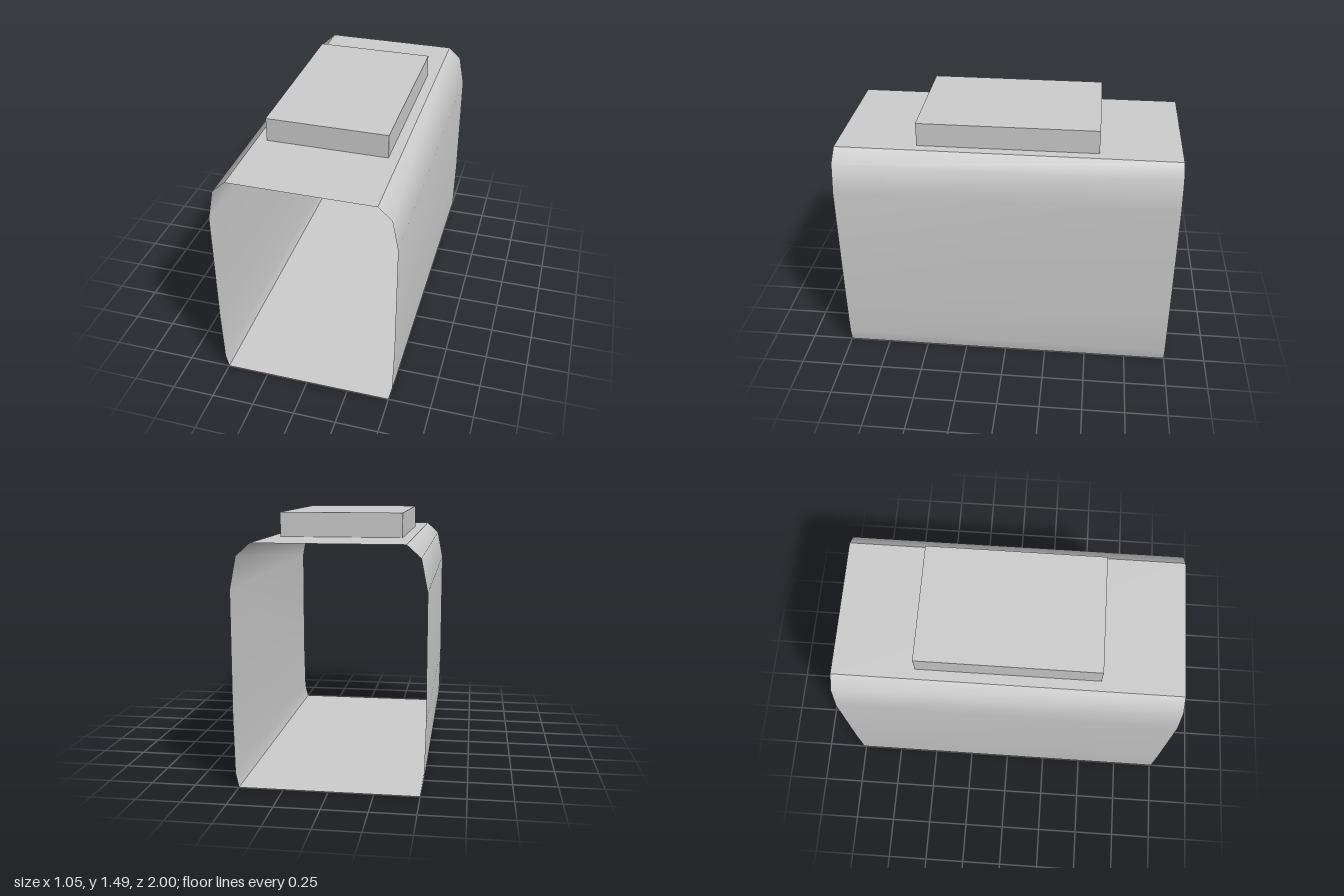
import * as THREE from 'three';

// Open strip swept along z; profile points run counter-clockwise seen from the front
function sweepStrip(profile, halfDepth) {
  const positions = [];
  const index = [];
  profile.forEach(([x, y], i) => {
    positions.push(x, y, halfDepth, x, y, -halfDepth);
    if (i === 0) return;
    const a = 2 * (i - 1);
    index.push(a, a + 1, a + 3, a, a + 3, a + 2);
  });
  const geometry = new THREE.BufferGeometry();
  geometry.setAttribute('position', new THREE.Float32BufferAttribute(positions, 3));
  geometry.setIndex(index);
  geometry.computeVertexNormals();
  return geometry;
}

export function createModel() {
  const model = new THREE.Group();
  model.name = 'openSleeve';

  const grey = new THREE.MeshStandardMaterial({ color: 0xcccccc, side: THREE.DoubleSide });
  grey.name = 'light grey';

  const add = (name, geometry) => {
    const mesh = new THREE.Mesh(geometry, grey);
    mesh.name = name;
    model.add(mesh);
    return mesh;
  };

  // Curved side wall, bottom to top; mirrored for the other side
  const wall = [[0.5, 0], [0.518, 0.08], [0.525, 0.4], [0.525, 1.1], [0.49, 1.28], [0.413, 1.35]];
  const mirrored = wall.map(([x, y]) => [-x, y]).reverse();
  const last = wall.length - 1;

  add('leftWall', sweepStrip(wall, 1));
  add('rightWall', sweepStrip(mirrored, 1));

  // Flat roof and floor close the sleeve; both ends stay open
  add('roof', sweepStrip([wall[last], mirrored[0]], 1));
  add('floor', sweepStrip([mirrored[last], wall[0]], 1));

  // Raised block on the roof
  add('roofBlock', new THREE.BoxGeometry(0.706, 0.14, 1.054)).position.y = 1.42;

  return model;
}
